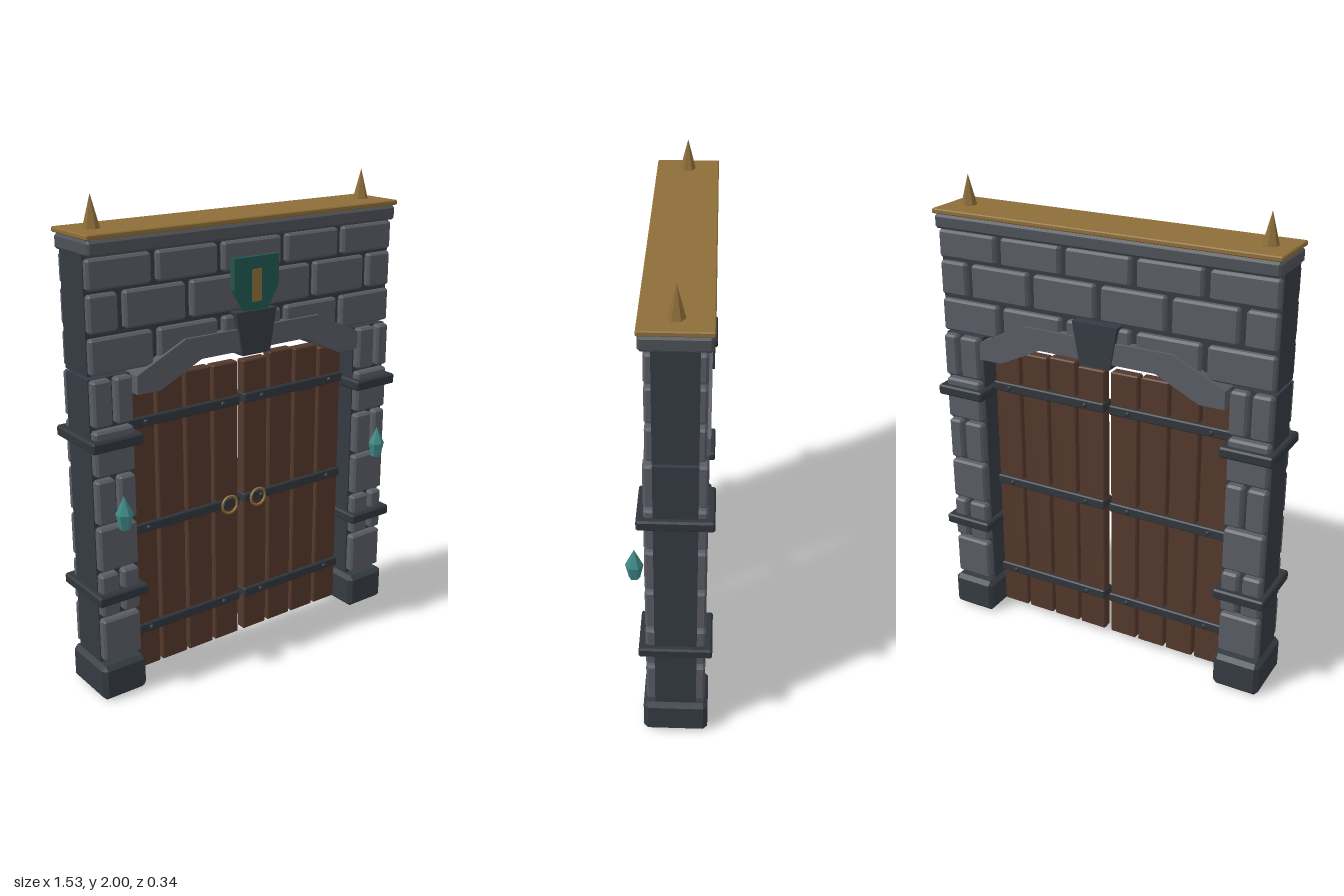
import * as THREE from 'three';
import { ConvexGeometry } from 'three/addons/geometries/ConvexGeometry.js';

const ZC = -0.025; // middle of the wall's thickness

function makeMaterials() {
  const colours = {
    stone: 0x5a5c65, capStone: 0x4d5157, darkStone: 0x353b43, iron: 0x30363c,
    wood: 0x53382b, gold: 0x8e6e39, teal: 0x1f5750, crystal: 0x3f8886,
  };
  const mats = {};
  for (const [name, color] of Object.entries(colours)) {
    mats[name] = new THREE.MeshStandardMaterial({ color, flatShading: true });
    mats[name].name = name;
  }
  return mats;
}

// Box with all edges chamfered by c
function chamferBox(w, h, d, c) {
  const pts = [];
  for (const x of [-1, 1]) for (const y of [-1, 1]) for (const z of [-1, 1]) {
    const [a, b, e] = [w / 2, h / 2, d / 2];
    pts.push(new THREE.Vector3(x * a, y * (b - c), z * (e - c)));
    pts.push(new THREE.Vector3(x * (a - c), y * b, z * (e - c)));
    pts.push(new THREE.Vector3(x * (a - c), y * (b - c), z * e));
  }
  return new ConvexGeometry(pts);
}

// Flat outline extruded between two depths
function slab(points, z0, z1) {
  const shape = new THREE.Shape(points.map(([x, y]) => new THREE.Vector2(x, y)));
  const geo = new THREE.ExtrudeGeometry(shape, { depth: z1 - z0, bevelEnabled: false });
  return geo.translate(0, 0, z0);
}

export function createModel() {
  const M = makeMaterials();
  const root = new THREE.Group();
  root.name = 'castleGate';

  const add = (parent, name, geo, mat, x = 0, y = 0, z = 0) => {
    const mesh = new THREE.Mesh(geo, mat);
    mesh.name = name;
    mesh.position.set(x, y, z);
    parent.add(mesh);
    return mesh;
  };
  // Box given by its limits, chamfered when c > 0
  const box = (parent, name, mat, x0, x1, y0, y1, z0, z1, c = 0) => {
    const [w, h, d] = [x1 - x0, y1 - y0, z1 - z0];
    const geo = c ? chamferBox(w, h, d, c) : new THREE.BoxGeometry(w, h, d);
    return add(parent, name, geo, mat, (x0 + x1) / 2, (y0 + y1) / 2, (z0 + z1) / 2);
  };
  // Facing block on both the front and the back of the wall
  const facing = (parent, x0, x1, y0, y1, reach) => {
    box(parent, 'frontBlock', M.stone, x0, x1, y0, y1, ZC + 0.07, ZC + reach, 0.009);
    box(parent, 'backBlock', M.stone, x0, x1, y0, y1, ZC - reach, ZC - 0.07, 0.009);
  };

  // Pillars
  for (const s of [-1, 1]) {
    const pillar = new THREE.Group();
    pillar.name = s > 0 ? 'leftPillar' : 'rightPillar';
    root.add(pillar);
    const span = (a, b) => (s > 0 ? [a, b] : [-b, -a]);
    box(pillar, 'pillarCore', M.darkStone, ...span(0.565, 0.745), 0.16, 1.338, ZC - 0.082, ZC + 0.082);
    box(pillar, 'pillarFoot', M.darkStone, ...span(0.555, 0.757), 0, 0.152, ZC - 0.13, ZC + 0.13, 0.018);
    for (let i = 0; i < 6; i++) {
      const y0 = 0.172 + i * 0.1965, y1 = y0 + 0.182;
      if (i % 2 === 0) {
        facing(pillar, ...span(0.571, 0.741), y0, y1, 0.117);
      } else {
        const joint = s > 0 ? 0.67 : 0.652;
        facing(pillar, ...span(0.571, joint - 0.009), y0, y1, 0.117);
        facing(pillar, ...span(joint + 0.009, 0.741), y0, y1, 0.117);
      }
    }
    for (const y of [0.453, 1.088]) {
      box(pillar, 'ironBand', M.iron, ...span(0.545, 0.767), y - 0.022, y + 0.022, ZC - 0.143, ZC + 0.143, 0.007);
    }
    // Crystal lamp
    const profile = [[0, 0.75], [0.022, 0.75], [0.035, 0.812], [0, 0.885]].map(([r, y]) => new THREE.Vector2(r, y));
    add(pillar, 'crystal', new THREE.LatheGeometry(profile, 6), M.crystal, s * 0.655, 0, 0.135);
    // Roof spike
    add(pillar, 'roofSpike', new THREE.ConeGeometry(0.033, 0.127, 6), M.gold, s * 0.655, 1.9365, ZC);
  }

  // Lintel wall
  const lintel = new THREE.Group();
  lintel.name = 'lintel';
  root.add(lintel);
  box(lintel, 'lintelCore', M.darkStone, -0.745, 0.745, 1.35, 1.8, ZC - 0.082, ZC + 0.082);
  const wide = [-0.741, -0.456, -0.156, 0.156, 0.456, 0.741];
  const shifted = [-0.741, -0.603, -0.306, 0, 0.306, 0.603, 0.741];
  const courses = [[1.355, 1.493, wide], [1.512, 1.655, shifted], [1.67, 1.785, wide]];
  for (const [y0, y1, xs] of courses) {
    for (let i = 0; i < xs.length - 1; i++) {
      const a = xs[i] + (i ? 0.014 : 0);
      const b = xs[i + 1] - (i < xs.length - 2 ? 0.014 : 0);
      facing(lintel, a, b, y0, y1, 0.108);
    }
  }
  box(lintel, 'capCourse', M.capStone, -0.745, 0.745, 1.793, 1.852, ZC - 0.125, ZC + 0.125, 0.01);
  box(lintel, 'goldRoofPlate', M.gold, -0.75, 0.75, 1.855, 1.875, ZC - 0.13, ZC + 0.13, 0.004);

  // Arch and keystone
  const half = [[0.555, 1.33], [0.555, 1.256], [0.45, 1.256], [0.262, 1.347]];
  const top = [0.333, 1.437];
  const flip = ([x, y]) => [-x, y];
  add(root, 'arch', slab([top, flip(top), ...half.map(flip), ...[...half].reverse()], ZC - 0.121, ZC + 0.121), M.stone);
  add(root, 'keystone', slab([[-0.068, 1.327], [0.068, 1.327], [0.1, 1.505], [-0.1, 1.505]], ZC - 0.13, ZC + 0.13), M.darkStone);

  // Shield with gold bar
  add(root, 'shield', slab([[-0.055, 1.507], [0.055, 1.507], [0.11, 1.595], [0.11, 1.72], [-0.11, 1.72], [-0.11, 1.595]], 0.075, 0.104), M.teal);
  box(root, 'shieldBar', M.gold, -0.022, 0.022, 1.542, 1.67, 0.102, 0.109);

  // Double door
  const plankTops = { '-1': [1.275, 1.277, 1.273, 1.25], 1: [1.27, 1.285, 1.277, 1.257] };
  for (const s of [-1, 1]) {
    const leaf = new THREE.Group();
    leaf.name = s > 0 ? 'leftDoorLeaf' : 'rightDoorLeaf';
    root.add(leaf);
    for (let i = 0; i < 4; i++) {
      const x = s * (0.077 + i * 0.1363);
      box(leaf, 'plank', M.wood, x - 0.062, x + 0.062, 0.024, plankTops[s][i], ZC - 0.024, ZC + 0.024, 0.005);
    }
    for (const y of [0.208, 0.66, 1.11]) {
      const x = s * 0.282;
      box(leaf, 'ironStrap', M.iron, x - 0.27, x + 0.27, y - 0.021, y + 0.021, ZC - 0.036, ZC + 0.036, 0.005);
      for (const sx of [0.1, 0.472]) for (const side of [-1, 1]) {
        add(leaf, 'stud', new THREE.SphereGeometry(0.011, 8, 6), M.iron, s * sx, y, ZC + side * 0.037);
      }
    }
    add(leaf, 'pullRing', new THREE.TorusGeometry(0.038, 0.006, 6, 18), M.gold, s * 0.075, 0.66, 0.022);
  }
  return root;
}
